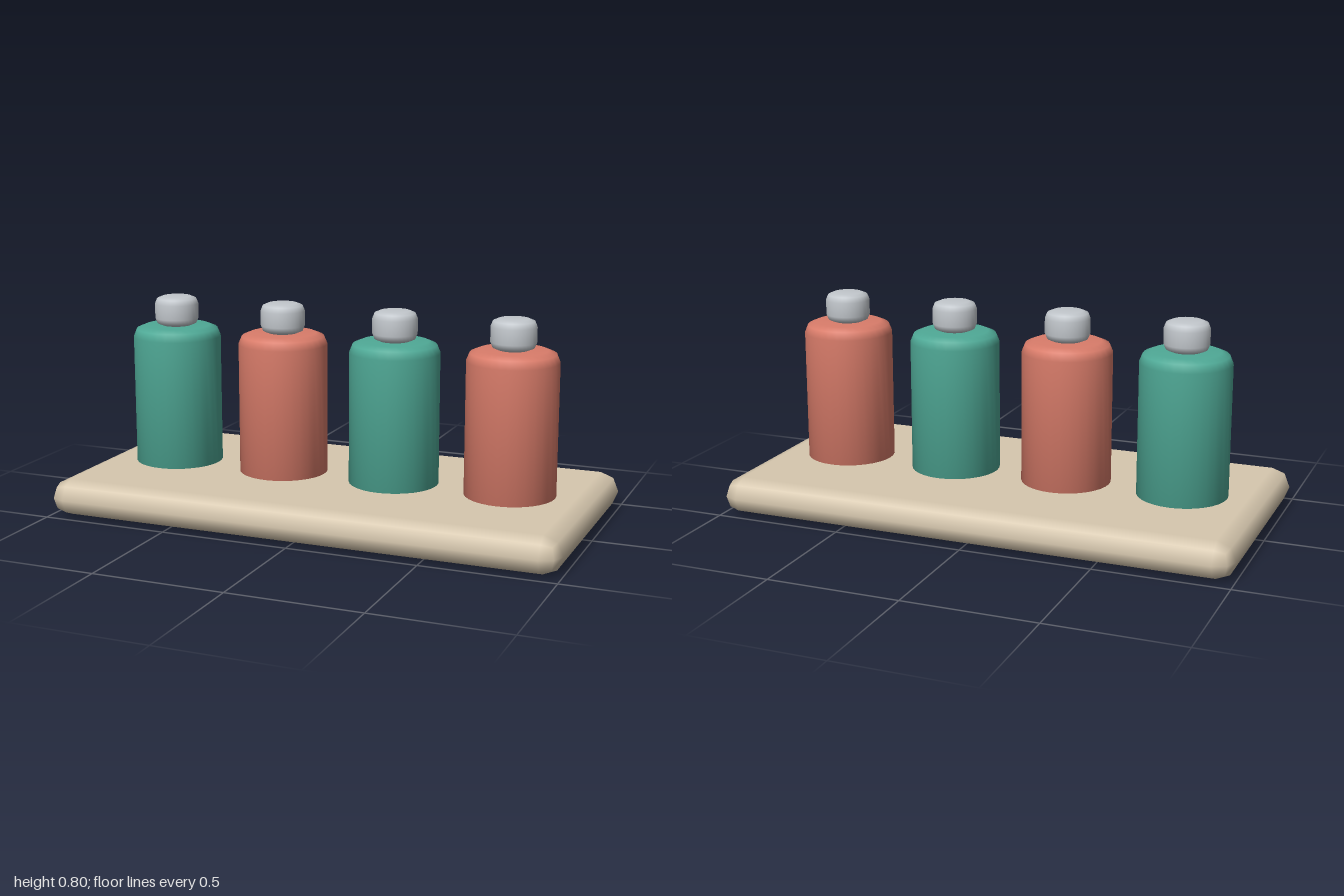
import * as THREE from 'three';
import { RoundedBoxGeometry } from 'three/addons/geometries/RoundedBoxGeometry.js';

const material = (name, color) => {
  const m = new THREE.MeshStandardMaterial({ color });
  m.name = name;
  return m;
};

// Quarter-round bevel around (r, y), from angle a0 to a1, in two steps
function bevel(r, y, b, a0, a1) {
  return [0, 0.5, 1].map((t) => {
    const a = a0 + (a1 - a0) * t;
    return new THREE.Vector2(r + b * Math.cos(a), y + b * Math.sin(a));
  });
}

// Upright cylinder with bevelled top rim and, optionally, bottom rim
function roundedCylinder(r, y0, y1, b, bevelBottom) {
  const q = Math.PI / 2;
  const bottom = bevelBottom
    ? bevel(r - b, y0 + b, b, -q, 0)
    : [new THREE.Vector2(r, y0)];
  return new THREE.LatheGeometry([
    new THREE.Vector2(0, y0),
    ...bottom,
    ...bevel(r - b, y1 - b, b, 0, q),
    new THREE.Vector2(0, y1),
  ], 32);
}

export function createModel() {
  const group = new THREE.Group();
  const sand = material('sand', 0xd6c7ae);
  const teal = material('teal', 0x4fa996);
  const coral = material('coral', 0xd97c6a);
  const silver = material('silver', 0xc2c7cc);
  const charcoal = material('charcoal', 0x25242c);

  const add = (parent, name, geometry, mat) => {
    const mesh = new THREE.Mesh(geometry, mat);
    mesh.name = name;
    parent.add(mesh);
    return mesh;
  };

  // Tray with fully rounded edges
  add(group, 'tray', new RoundedBoxGeometry(2, 0.142, 1, 1, 0.071), sand).position.y = 0.072;

  // Row of four bottles in alternating colours
  const body = roundedCylinder(0.171, 0.1, 0.687, 0.043, false);
  const cap = roundedCylinder(0.085, 0.687, 0.801, 0.029, true);
  const pad = new THREE.CylinderGeometry(0.145, 0.145, 0.004, 32);
  for (let i = 0; i < 4; i++) {
    const bottle = new THREE.Group();
    bottle.name = 'bottle' + (i + 1);
    bottle.position.x = (i - 1.5) * 0.457;
    add(bottle, 'bottleBody', body, i % 2 ? coral : teal);
    add(bottle, 'bottleCap', cap, silver);
    // Dark disc set into the tray's underside
    add(bottle, 'undersidePad', pad, charcoal).position.y = 0.002;
    group.add(bottle);
  }
  return group;
}
